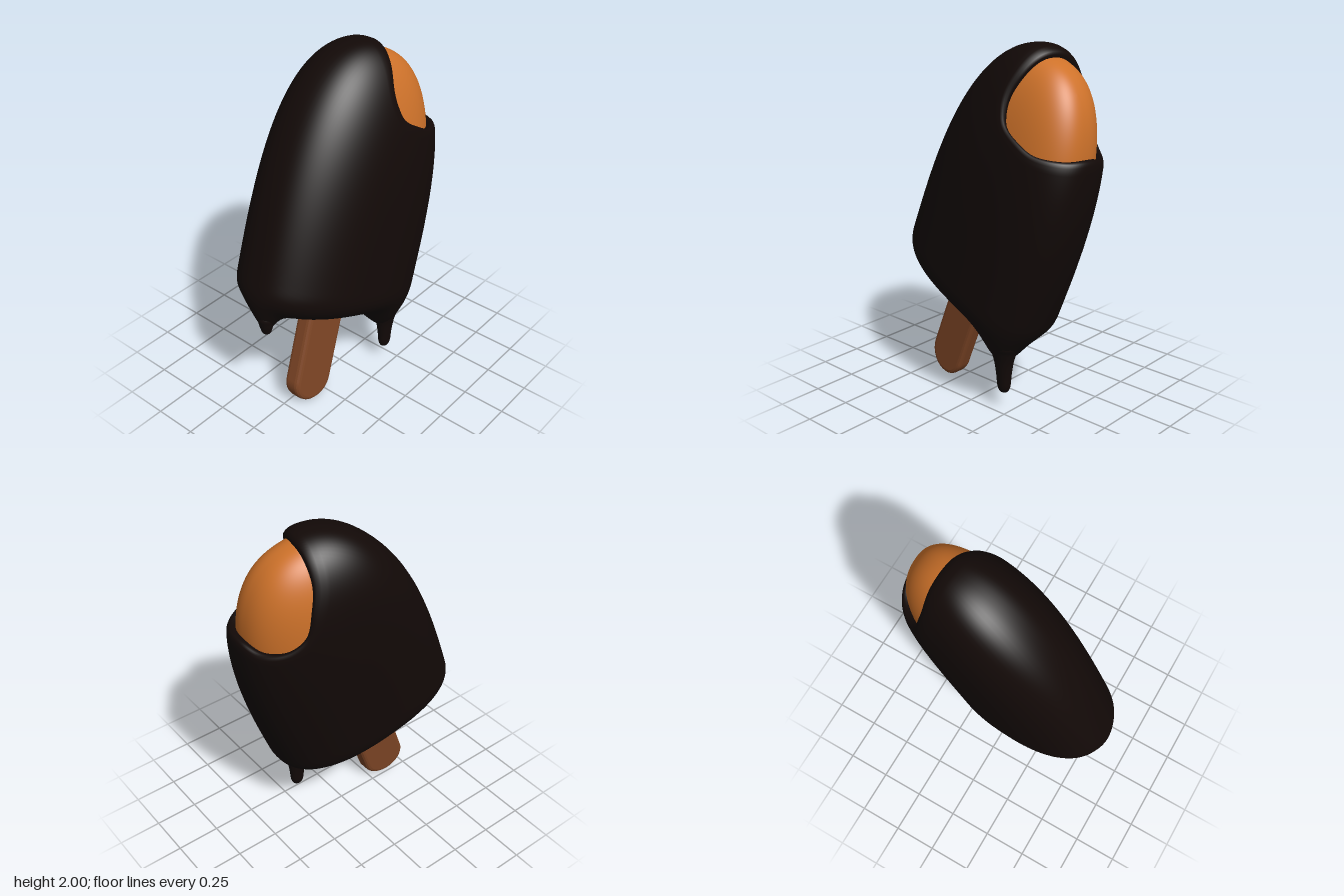
import * as THREE from 'three';

const V = (x, y, z) => new THREE.Vector3(x, y, z);

// Leaning frame of the pop: tilted 20 degrees, with a slight yaw and backward lean
const LEAN = new THREE.Matrix4().set(1, 0, 0, 0, 0, 1, 0, 0, 0.12, -0.085, 1, 0.085, 0, 0, 0, 1)
  .multiply(new THREE.Matrix4().makeRotationZ(-THREE.MathUtils.degToRad(20)));
const UNLEAN = LEAN.clone().invert();
const AXIS_X = -0.347;
const CENTRE = V(AXIS_X, 1.2, 0);

// How far the lower rim sags around a drip hanging at world x, local depth z
function sag(p, x, z, amount, width) {
  const du = p.x - (x - 0.342 * p.y) / 0.94, dw = p.z - z;
  return amount * Math.exp(-(du * du + dw * dw) / (width * width));
}

// Solid of the pop: superellipse sections, domed top, rounded bottom sagging into drips
function inside(p, inset) {
  const top = 1.97 - inset, mid = 0.64;
  const bottom = 0.43 + 0.06 * Math.max(0, -p.z) + inset
    - sag(p, 0.195, 0.11, 0.22, 0.14) - sag(p, -0.59, 0, 0.13, 0.075);
  if (p.y >= top || p.y <= bottom) return false;
  let a = 0.553 - inset, b = 0.32 - inset, axis = AXIS_X;
  if (p.y > mid) {
    const t = (p.y - mid) / (top - mid);
    a *= (1 - t ** 2.7) ** (1 / 2.3);
    b *= (1 - t ** (p.z > 0 ? 3.8 : 5.5)) ** (1 / 2.3);
    axis += 0.012 * t;
  } else {
    const s = (mid - p.y) / (mid - bottom);
    a *= (1 - s ** 3) ** (1 / 3);
    b *= (1 - s ** 2.6) ** (1 / 2.4);
  }
  return Math.abs((p.x - axis) / a) ** 2.4 + Math.abs(p.z / b) ** 2.4 < 1;
}

// Outermost point of the solid along a ray from the centre
function surfacePoint(dir, inset) {
  const at = (r) => CENTRE.clone().addScaledVector(dir, r);
  let hi = 1.3;
  while (hi > 0.03 && !inside(at(hi - 0.02), inset)) hi -= 0.02;
  let lo = hi - 0.02;
  for (let k = 0; k < 16; k++) {
    const r = (lo + hi) / 2;
    if (inside(at(r), inset)) lo = r; else hi = r;
  }
  return at(lo);
}

// Rim of the bite, as directions from the centre
const SEGS = 140;
const rim = new THREE.CatmullRomCurve3([
  V(0.32, 1.92, 0), V(0.265, 1.84, 0.11), V(0.22, 1.74, 0.165), V(0.212, 1.65, 0.19), V(0.235, 1.575, 0.21),
  V(0.31, 1.51, 0.22), V(0.43, 1.47, 0.225), V(0.57, 1.46, 0.16), V(0.6, 1.45, 0), V(0.55, 1.42, -0.1),
  V(0.45, 1.43, -0.18), V(0.385, 1.5, -0.225), V(0.36, 1.63, -0.235), V(0.34, 1.77, -0.215), V(0.33, 1.87, -0.13),
], true).getSpacedPoints(SEGS).slice(0, SEGS)
  .map((p) => p.applyMatrix4(UNLEAN).sub(CENTRE).normalize());
const pole = rim.reduce((s, d) => s.add(d), V(0, 0, 0)).normalize();

// Skin made of rings [t, inset]: t = 0 bite centre, 1 bite rim, 2 far side
function skin(rings) {
  const pos = [], index = [];
  rings.forEach(([t, inset], i) => rim.forEach((edge, j) => {
    const al = pole.angleTo(edge);
    const angle = t <= 1 ? al * t : al + (Math.PI - al) * (t - 1);
    const axis = pole.clone().cross(edge).normalize();
    pos.push(...surfacePoint(pole.clone().applyAxisAngle(axis, angle), inset).toArray());
    if (i === 0) return;
    const k = (j + 1) % SEGS, r0 = (i - 1) * SEGS, r1 = i * SEGS;
    index.push(r0 + j, r1 + j, r0 + k, r1 + j, r1 + k, r0 + k);
  }));
  const g = new THREE.BufferGeometry();
  g.setAttribute('position', new THREE.Float32BufferAttribute(pos, 3));
  g.setIndex(index);
  g.applyMatrix4(LEAN);
  g.computeVertexNormals();
  return g;
}

// Drip: turned profile hanging straight down, its top buried in the sagging rim
function drip(points) {
  const curve = new THREE.SplineCurve(points.map(([r, y]) => new THREE.Vector2(r, y)));
  return new THREE.LatheGeometry(curve.getPoints(40), 32);
}

export function createModel() {
  const group = new THREE.Group();
  const chocolate = new THREE.MeshStandardMaterial({ color: 0x120907, side: THREE.DoubleSide });
  const iceCream = new THREE.MeshStandardMaterial({ color: 0xce722a });
  const wood = new THREE.MeshStandardMaterial({ color: 0x7d4525 });
  const add = (name, geometry, material) => {
    const mesh = new THREE.Mesh(geometry, material);
    mesh.name = name;
    group.add(mesh);
    return mesh;
  };

  // Coating with a rounded lip around the bite
  const coatRings = [[1, 0.08], [1, 0.05], [1, 0.03], [1.004, 0.016], [1.012, 0.007], [1.024, 0.002]];
  for (let i = 0; i <= 110; i++) coatRings.push([1.04 + 0.96 * i / 110, 0]);
  add('coating', skin(coatRings), chocolate);

  // Filling showing through the bite
  const fillRings = [];
  for (let i = 0; i <= 36; i++) fillRings.push([i / 30, 0.045]);
  add('filling', skin(fillRings), iceCream);

  // Long drip at the front, short drip on the side
  const longDrip = add('longDrip', drip([[0, 0], [0.025, 0.008], [0.04, 0.04], [0.047, 0.11],
    [0.06, 0.19], [0.078, 0.25], [0.095, 0.31], [0, 0.4]]), chocolate);
  longDrip.position.set(0.195, 0.09, 0.19);
  longDrip.scale.z = 0.8;
  const shortDrip = add('shortDrip', drip([[0, 0], [0.022, 0.006], [0.033, 0.035], [0.042, 0.075],
    [0.045, 0.12], [0, 0.18]]), chocolate);
  shortDrip.position.set(-0.58, 0.56, -0.03);

  // Stick with a round end and bevelled edges
  const r = 0.105, shape = new THREE.Shape();
  shape.moveTo(r, 0.65);
  shape.lineTo(-r, 0.65);
  shape.lineTo(-r, r);
  shape.absarc(0, r, r, Math.PI, Math.PI * 2, false);
  shape.lineTo(r, 0.65);
  const stick = new THREE.ExtrudeGeometry(shape, {
    depth: 0.05, bevelEnabled: true, bevelThickness: 0.025, bevelSize: 0.025, bevelSegments: 3, curveSegments: 24,
  });
  stick.translate(-0.367, -0.105, -0.007).applyMatrix4(LEAN);
  stick.computeVertexNormals();
  add('stick', stick, wood);

  return group;
}
